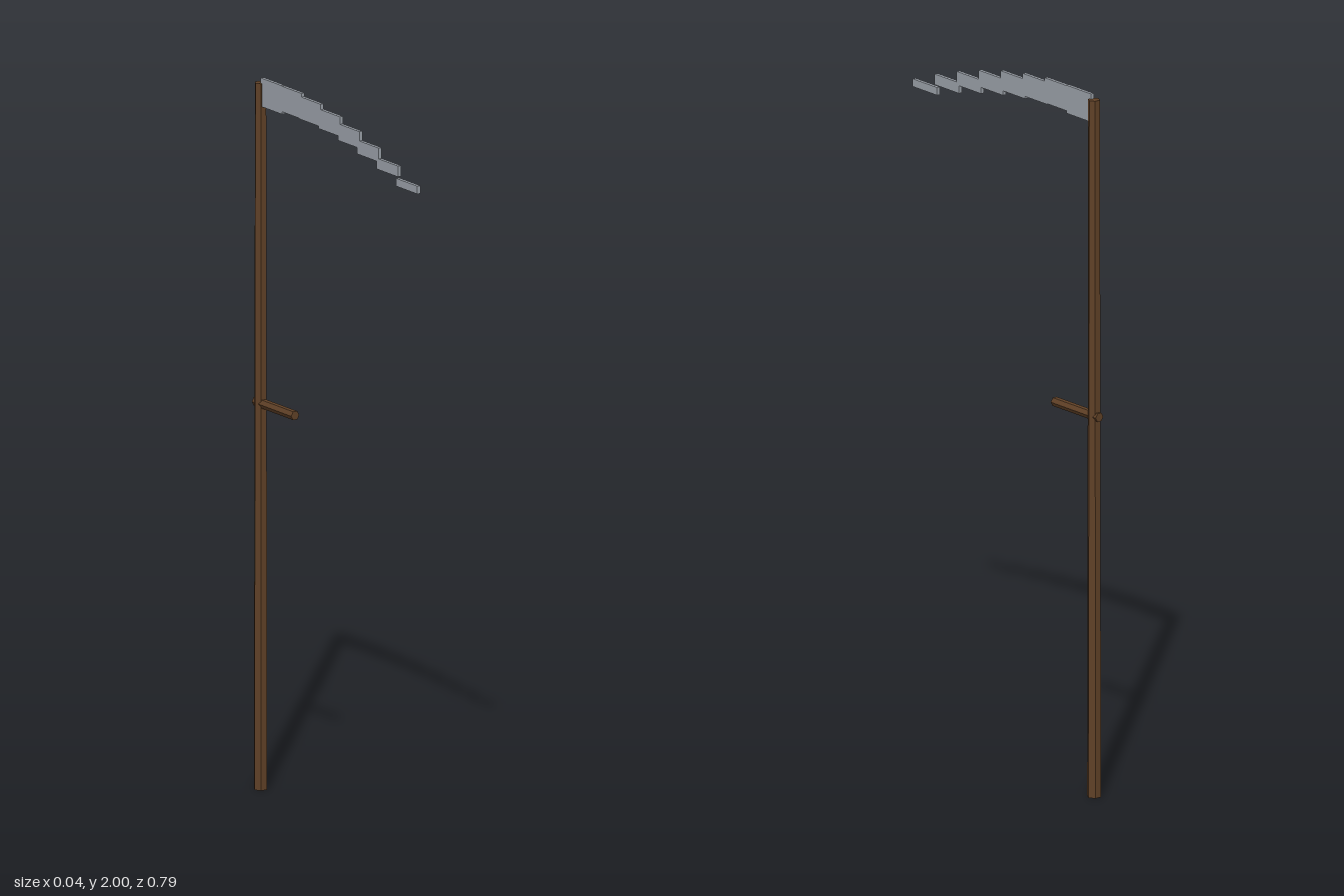
import * as THREE from 'three';

export function createModel() {
  const model = new THREE.Group();
  const wood = new THREE.MeshStandardMaterial({ color: 0x5f4026, flatShading: true });
  const steel = new THREE.MeshStandardMaterial({ color: 0x9aa0a8, flatShading: true });

  const add = (name, geometry, material, x, y, z, parent = model) => {
    const mesh = new THREE.Mesh(geometry, material);
    mesh.name = name;
    mesh.position.set(x, y, z);
    parent.add(mesh);
    return mesh;
  };

  // Hexagonal rod with corners on the x axis
  const hexRod = (rTop, rBottom, length) =>
    new THREE.CylinderGeometry(rTop, rBottom, length, 6, 1, false, Math.PI / 2);

  // Long shaft, slightly tapered towards the top
  add('shaft', hexRod(0.017, 0.02, 1.985), wood, 0, 1.985 / 2, -0.372);

  // Short hand grip passing through the shaft
  const gripBack = -0.395, gripFront = -0.204;
  add('handGrip', hexRod(0.0135, 0.0135, gripFront - gripBack).rotateX(Math.PI / 2),
    wood, 0, 1.085, (gripBack + gripFront) / 2);

  // Stepped blade: overlapping plates that narrow and drop towards the tip
  const blade = new THREE.Group();
  blade.name = 'blade';
  model.add(blade);
  const centreHeights = [1.96, 1.963, 1.957, 1.946, 1.929, 1.907, 1.881, 1.849];
  const step = 0.0937, plateLength = 0.104, tip = 0.395;
  centreHeights.forEach((y, i) => {
    const height = THREE.MathUtils.lerp(0.08, 0.022, i / 7);
    const front = tip - step * (7 - i);
    add('bladePlate' + (i + 1), new THREE.BoxGeometry(0.01, height, plateLength),
      steel, 0, y, front - plateLength / 2, blade);
  });

  return model;
}
